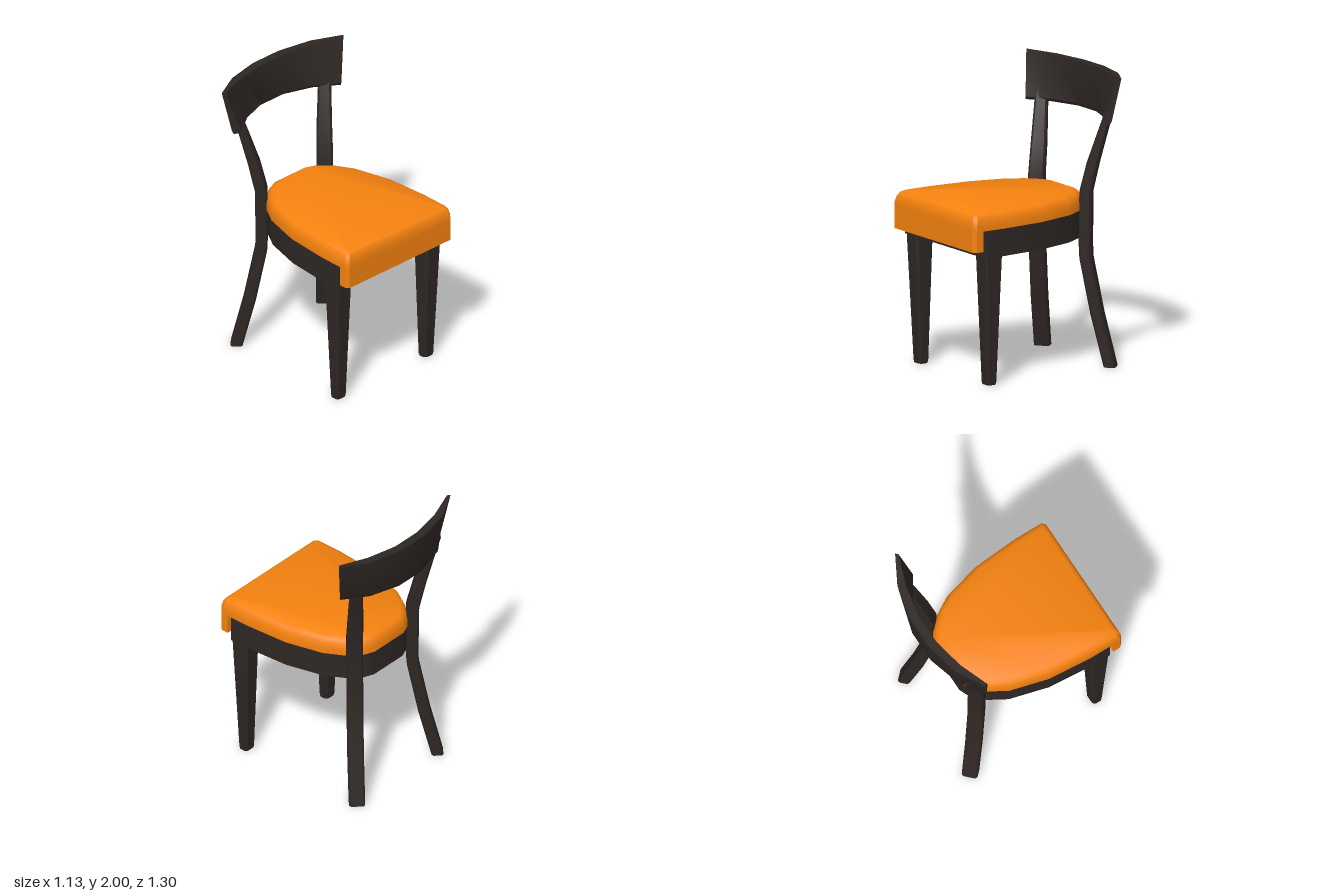
import * as THREE from 'three';
import { toCreasedNormals } from 'three/addons/utils/BufferGeometryUtils.js';

const wood = new THREE.MeshStandardMaterial({ color: 0x2e2724 });
const fabric = new THREE.MeshStandardMaterial({ color: 0xf5820f });

// Closed solid through a list of convex rings of [x, y, z] points
function loft(rings, crease = 0.6) {
  const n = rings[0].length, pos = rings.flat(2), index = [];
  for (let i = 0; i < rings.length - 1; i++) {
    for (let j = 0; j < n; j++) {
      const a = i * n + j, b = i * n + (j + 1) % n;
      index.push(a, b, b + n, a, b + n, a + n);
    }
  }
  const last = (rings.length - 1) * n;
  for (let j = 1; j < n - 1; j++) {
    index.push(0, j + 1, j, last, last + j, last + j + 1);
  }
  // Turn the faces outward if the rings run the other way
  const v = (i) => new THREE.Vector3().fromArray(pos, i * 3);
  let volume = 0;
  for (let i = 0; i < index.length; i += 3) {
    volume += v(index[i]).dot(v(index[i + 1]).cross(v(index[i + 2])));
  }
  if (volume < 0) index.reverse();
  const geo = new THREE.BufferGeometry();
  geo.setAttribute('position', new THREE.Float32BufferAttribute(pos, 3));
  geo.setIndex(index);
  return toCreasedNormals(geo, crease);
}

// Horizontal rectangle with cut corners, turned by an angle; side = -1 mirrors it
function rectRing(cx, y, cz, w, d, cut, angle, side) {
  const a = w / 2, b = d / 2, c = Math.cos(angle), s = Math.sin(angle);
  return [
    [a, b - cut], [a - cut, b], [cut - a, b], [-a, b - cut],
    [-a, cut - b], [cut - a, -b], [a - cut, -b], [a, cut - b],
  ].map(([u, v]) => [side * (cx + u * c - v * s), y, cz + u * s + v * c]);
}

// Half outline [x, z] completed by its mirror image
const mirrored = (half) => [...half, ...half.map(([x, z]) => [-x, z]).reverse()];

export function createModel() {
  const chair = new THREE.Group();
  chair.name = 'chair';
  const add = (name, geo, material) => {
    const mesh = new THREE.Mesh(geo, material);
    mesh.name = name;
    chair.add(mesh);
  };

  // Cushion: horseshoe outline, drawn in towards the top for a soft edge
  const cushion = mirrored([
    [0.145, -0.44], [0.22, -0.41], [0.312, -0.32], [0.388, -0.19],
    [0.46, 0.08], [0.485, 0.4], [0.485, 0.623], [0.465, 0.645],
  ]);
  const layers = [[1.07, 0], [1.11, 0], [1.15, 0.009], [1.175, 0.024], [1.19, 0.05]];
  add('seatCushion', loft(layers.map(([y, inset]) => cushion.map(([x, z]) => [
    x * (1 - inset / 0.485), y, 0.1 + (z - 0.1) * (1 - inset / 0.545),
  ]))), fabric);

  // Front lip of the cushion, hanging over the apron
  const lip = mirrored([[0.485, 0.572], [0.485, 0.623], [0.465, 0.645]]);
  add('cushionLip', loft([0.93, 1.11].map((y) => lip.map(([x, z]) => [x, y, z]))), fabric);

  // Hollow apron under the cushion, closed above by a panel
  const apronPts = mirrored([
    [0.143, -0.432], [0.216, -0.402], [0.304, -0.314], [0.378, -0.188],
    [0.45, 0.08], [0.476, 0.4], [0.478, 0.55],
  ]).map(([x, z]) => new THREE.Vector2(x, z));
  const innerPts = apronPts.map((p) => new THREE.Vector2(p.x * 0.87, 0.06 + (p.y - 0.06) * 0.88));
  const slab = (shape, top, depth) => toCreasedNormals(
    new THREE.ExtrudeGeometry(shape, { depth, bevelEnabled: false })
      .rotateX(Math.PI / 2).translate(0, top, 0), 0.6);
  const apron = new THREE.Shape(apronPts);
  apron.holes.push(new THREE.Path(innerPts));
  add('apron', slab(apron, 1.07, 0.19), wood);
  add('seatPanel', slab(new THREE.Shape(innerPts), 1.068, 0.02), wood);

  // Legs: [centre x, y, centre z, width, depth]
  const frontPath = [
    [0.405, 0, 0.473, 0.085, 0.07], [0.405, 0.02, 0.473, 0.092, 0.078],
    [0.412, 0.88, 0.478, 0.136, 0.138], [0.412, 1.06, 0.478, 0.138, 0.139],
  ];
  const backPath = [
    [0.405, 0, -0.511, 0.108, 0.08], [0.345, 0.36, -0.445, 0.11, 0.082],
    [0.292, 0.74, -0.392, 0.11, 0.082], [0.288, 0.84, -0.389, 0.11, 0.082],
    [0.295, 1.2, -0.39, 0.11, 0.082], [0.325, 1.4, -0.427, 0.105, 0.078],
    [0.39, 1.7, -0.492, 0.088, 0.055], [0.405, 1.76, -0.508, 0.084, 0.05],
  ];
  for (const [side, word] of [[1, 'Left'], [-1, 'Right']]) {
    const leg = (path, cut, angle) => loft(
      path.map(([x, y, z, w, d]) => rectRing(x, y, z, w, d, cut, angle, side)), 0.55);
    add('frontLeg' + word, leg(frontPath, 0.016, 0), wood);
    add('backLeg' + word, leg(backPath, 0.013, Math.PI / 4), wood);
  }

  // Curved backrest: per station the [x, z] of outer bottom, outer top, inner top,
  // inner bottom, and the height of the top edge
  const stations = [
    [[0.115, -0.64], [0.12, -0.655], [0.112, -0.594], [0.105, -0.585], 1.985],
    [[0.34, -0.575], [0.362, -0.6], [0.335, -0.55], [0.3, -0.515], 1.99],
    [[0.507, -0.45], [0.563, -0.49], [0.545, -0.474], [0.462, -0.411], 2],
  ];
  const section = ([ob, ot, it, ib, top], side) => {
    const mix = (t) => [0, 1].map((k) => ob[k] + (ib[k] - ob[k]) * t);
    return [
      [mix(0.2), 1.68], [ob, 1.7], [ot, top], [it, top], [ib, 1.7], [mix(0.8), 1.68],
    ].map(([[x, z], y]) => [side * x, y, z]);
  };
  add('backrest', loft([
    ...[...stations].reverse().map((s) => section(s, -1)),
    ...stations.map((s) => section(s, 1)),
  ]), wood);

  return chair;
}
